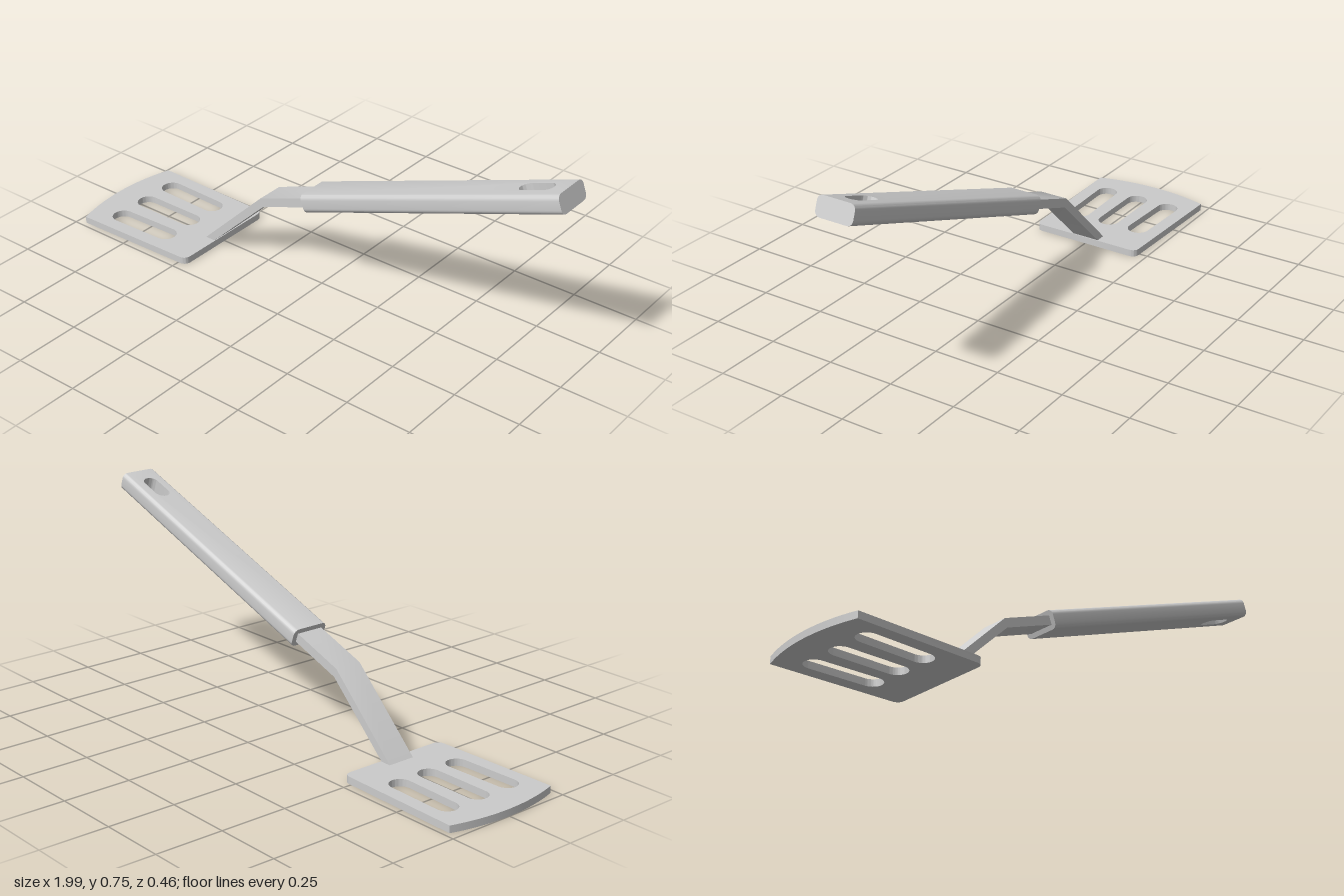
import * as THREE from 'three';
import { toCreasedNormals } from 'three/addons/utils/BufferGeometryUtils.js';

const material = new THREE.MeshStandardMaterial({ color: 0xcccccc });

function addMesh(group, name, geometry) {
  const mesh = new THREE.Mesh(toCreasedNormals(geometry, 0.5), material);
  mesh.name = name;
  group.add(mesh);
  return mesh;
}

// Rounded-end slot between two centres
function slotPath(x0, y0, x1, y1, r) {
  const a = Math.atan2(y1 - y0, x1 - x0);
  const path = new THREE.Path();
  path.absarc(x1, y1, r, a - Math.PI / 2, a + Math.PI / 2, false);
  path.absarc(x0, y0, r, a + Math.PI / 2, a + Math.PI * 1.5, false);
  path.closePath();
  return path;
}

// Flat slotted blade with a curved leading edge
function bladeGeometry() {
  const back = -0.465, front = -0.965, wBack = 0.218, wFront = 0.23, r = 0.03;
  const arcX = -0.227, arcR = 0.773, sweep = Math.asin(wFront / arcR);
  const shape = new THREE.Shape();
  shape.moveTo(front, -wFront);
  shape.lineTo(back - r, -wBack);
  shape.quadraticCurveTo(back, -wBack, back, -wBack + r);
  shape.lineTo(back, wBack - r);
  shape.quadraticCurveTo(back, wBack, back - r, wBack);
  shape.lineTo(front, wFront);
  shape.absarc(arcX, 0, arcR, Math.PI - sweep, Math.PI + sweep, false);
  for (const s of [-1, 0, 1]) {
    shape.holes.push(slotPath(-0.858, s * 0.137, -0.642, s * 0.13, 0.04));
  }
  return new THREE.ExtrudeGeometry(shape, { depth: 0.026, bevelEnabled: false, curveSegments: 16 })
    .rotateX(-Math.PI / 2);
}

// Bent flat strip joining blade and handle
function neckGeometry() {
  const w = 0.106;
  const side = new THREE.Shape([
    [-0.515, 0.02], [-0.475, 0.02], [-0.227, 0.259],
    [0.055, 0.362], [0.044, 0.394], [-0.238, 0.291],
  ].map(([x, y]) => new THREE.Vector2(x, y)));
  return new THREE.ExtrudeGeometry(side, { depth: w, bevelEnabled: false }).translate(0, 0, -w / 2);
}

// Bar with rounded long edges, flat ends and a straight hanging hole
function handleGeometry() {
  const length = 1.079, width = 0.144, thick = 0.07, r = 0.02;
  const holeX = 0.957, holeHalf = 0.036, holeR = 0.029;
  const h = width / 2 - r;
  const shape = new THREE.Shape();
  shape.moveTo(-r, -h).lineTo(length + r, -h).lineTo(length + r, h).lineTo(-r, h).closePath();
  shape.holes.push(slotPath(holeX - holeHalf, 0, holeX + holeHalf, 0, holeR));
  const geo = new THREE.ExtrudeGeometry(shape, {
    depth: thick - 2 * r, bevelThickness: r, bevelSize: r, bevelSegments: 6, curveSegments: 16,
  }).translate(0, 0, r - thick / 2);
  const p = geo.attributes.position;
  for (let i = 0; i < p.count; i++) {
    let x = p.getX(i), y = p.getY(i);
    if (Math.abs(x - holeX) < 0.09 && Math.abs(y) < 0.045) {
      // Keep the hole walls straight
      const cx = THREE.MathUtils.clamp(x, holeX - holeHalf, holeX + holeHalf);
      const d = Math.hypot(x - cx, y);
      x = cx + (x - cx) * holeR / d;
      y *= holeR / d;
    }
    // Cut the ends flat
    p.setXY(i, THREE.MathUtils.clamp(x, 0, length), y);
  }
  return geo.rotateX(-Math.PI / 2);
}

export function createModel() {
  const group = new THREE.Group();
  group.name = 'spatula';
  addMesh(group, 'blade', bladeGeometry());
  addMesh(group, 'neck', neckGeometry());
  const handle = addMesh(group, 'handle', handleGeometry());
  handle.position.set(-0.031, 0.349, 0);
  handle.rotation.z = THREE.MathUtils.degToRad(20);
  return group;
}
